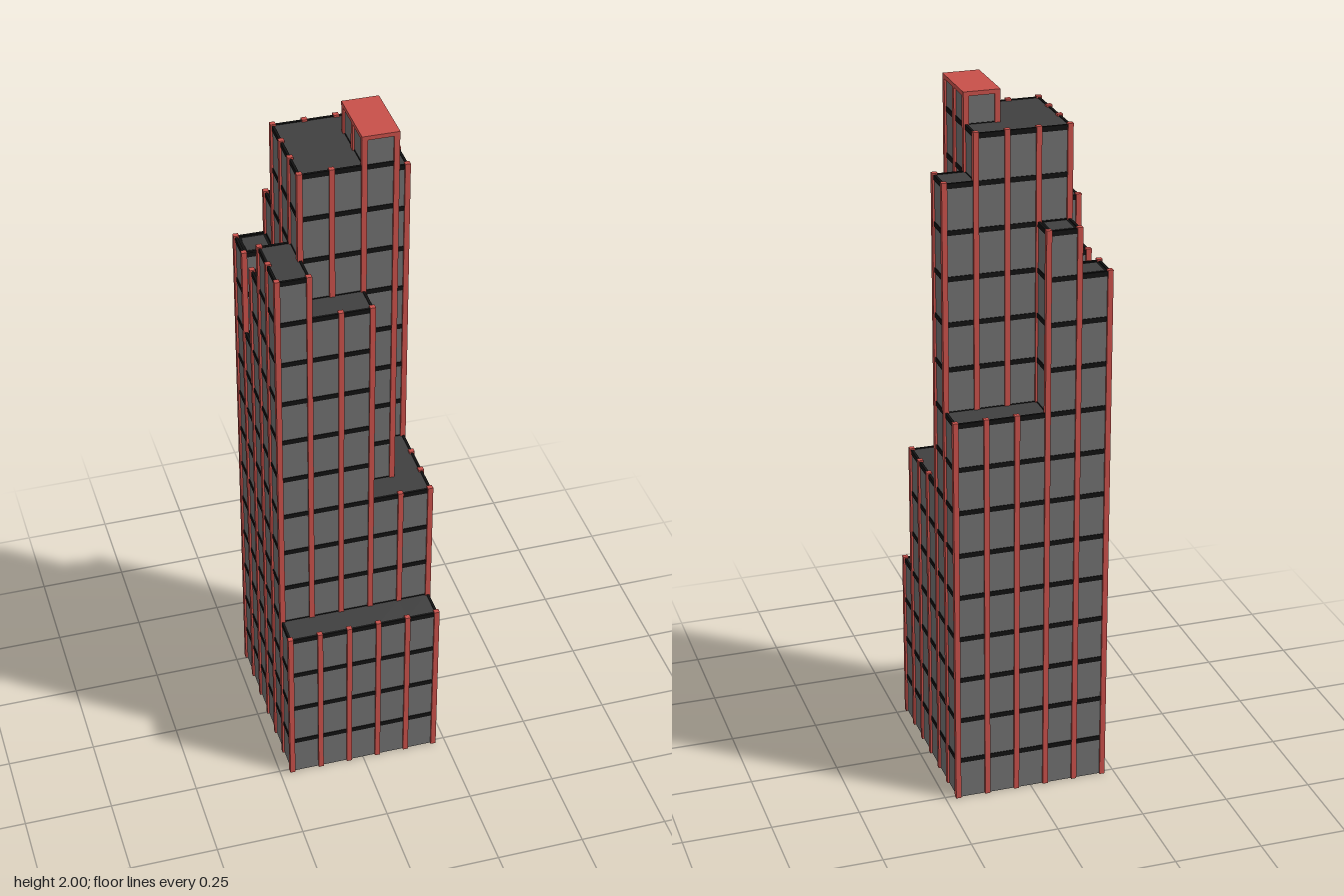
import * as THREE from 'three';
import { mergeGeometries } from 'three/addons/utils/BufferGeometryUtils.js';

// Floors per bay: rows run back to front, columns run from -x to +x (16 = penthouse)
const FLOORS = [
  [12, 13, 9, 9, 9],
  [10, 15, 15, 15, 14],
  [12, 15, 15, 16, 7],
  [13, 15, 15, 16, 7],
  [13, 12, 12, 7, 7],
  [4, 4, 4, 4, 4],
];
const ROWS = 6, COLS = 5, BAY = 0.0856;
const gridX = (i) => (i - COLS / 2) * BAY;
const gridZ = (j) => (j - ROWS / 2) * BAY;
const levelY = (k) => (k === 16 ? 1.985 : 0.118 + 0.1277 * (k - 1));
const floorsAt = (i, j) => FLOORS[j]?.[i] ?? 0;
const roofY = (k) => (k > 0 ? levelY(k) + 0.005 : 0);

export function createModel() {
  const model = new THREE.Group();
  const parts = { walls: [], floorBands: [], columns: [], roofs: [], roofRims: [] };

  // Box given by its centre in plan and its bottom and top heights
  const box = (part, x, z, y0, y1, w, d) =>
    parts[part].push(new THREE.BoxGeometry(w, y1 - y0, d).translate(x, (y0 + y1) / 2, z));

  // Wall and floor bands where one bay rises above its neighbour
  const facade = (a, b, x, z, alongX) => {
    if (a === b) return;
    const lo = Math.min(a, b), hi = Math.max(a, b);
    const size = (t, extra) => (alongX ? [BAY + extra, t] : [t, BAY + extra]);
    box('walls', x, z, roofY(lo), roofY(hi), ...size(0.003, 0));
    for (let k = Math.max(lo, 1); k <= Math.min(hi, 15); k++) {
      box('floorBands', x, z, levelY(k) - 0.007, levelY(k) + 0.007, ...size(0.007, 0.004));
    }
  };

  for (let j = 0; j <= ROWS; j++) {
    for (let i = 0; i <= COLS; i++) {
      const x = gridX(i), z = gridZ(j);
      const here = floorsAt(i, j);
      if (i < COLS) facade(here, floorsAt(i, j - 1), x + BAY / 2, z, true);
      if (j < ROWS) facade(here, floorsAt(i - 1, j), x, z + BAY / 2, false);

      // Column at each grid point, rising just above the roof unless it is fully enclosed
      const around = [here, floorsAt(i - 1, j), floorsAt(i, j - 1), floorsAt(i - 1, j - 1)];
      const top = Math.max(...around);
      const enclosed = around.every((f) => f === top);
      box('columns', x, z, 0, roofY(top) + (enclosed ? -0.01 : 0.006), 0.015, 0.015);

      // Roof of the bay; the small corner turrets have a broad dark rim
      if (here) {
        const y = roofY(here), cx = x + BAY / 2, cz = z + BAY / 2;
        const turret = (i === 0 && j < 3) || (i === 1 && j === 0);
        if (turret) box('roofRims', cx, cz, y - 0.008, y - 0.001, BAY, BAY);
        const side = turret ? BAY - 0.024 : BAY;
        box('roofs', cx, cz, y - 0.004, y, side, side);
      }
    }
  }

  const colors = {
    walls: 0x707070, floorBands: 0x111111, columns: 0xc8504a, roofs: 0x404040, roofRims: 0x111111,
  };
  for (const [name, list] of Object.entries(parts)) {
    const material = new THREE.MeshStandardMaterial({ color: colors[name] });
    const mesh = new THREE.Mesh(mergeGeometries(list), material);
    mesh.name = name;
    model.add(mesh);
  }

  // Penthouse cap slab
  const cap = new THREE.Mesh(
    new THREE.BoxGeometry(0.101, 0.012, 0.187),
    new THREE.MeshStandardMaterial({ color: 0xc8504a })
  );
  cap.name = 'penthouseCap';
  cap.position.set((gridX(3) + gridX(4)) / 2, 1.994, 0);
  model.add(cap);

  return model;
}
